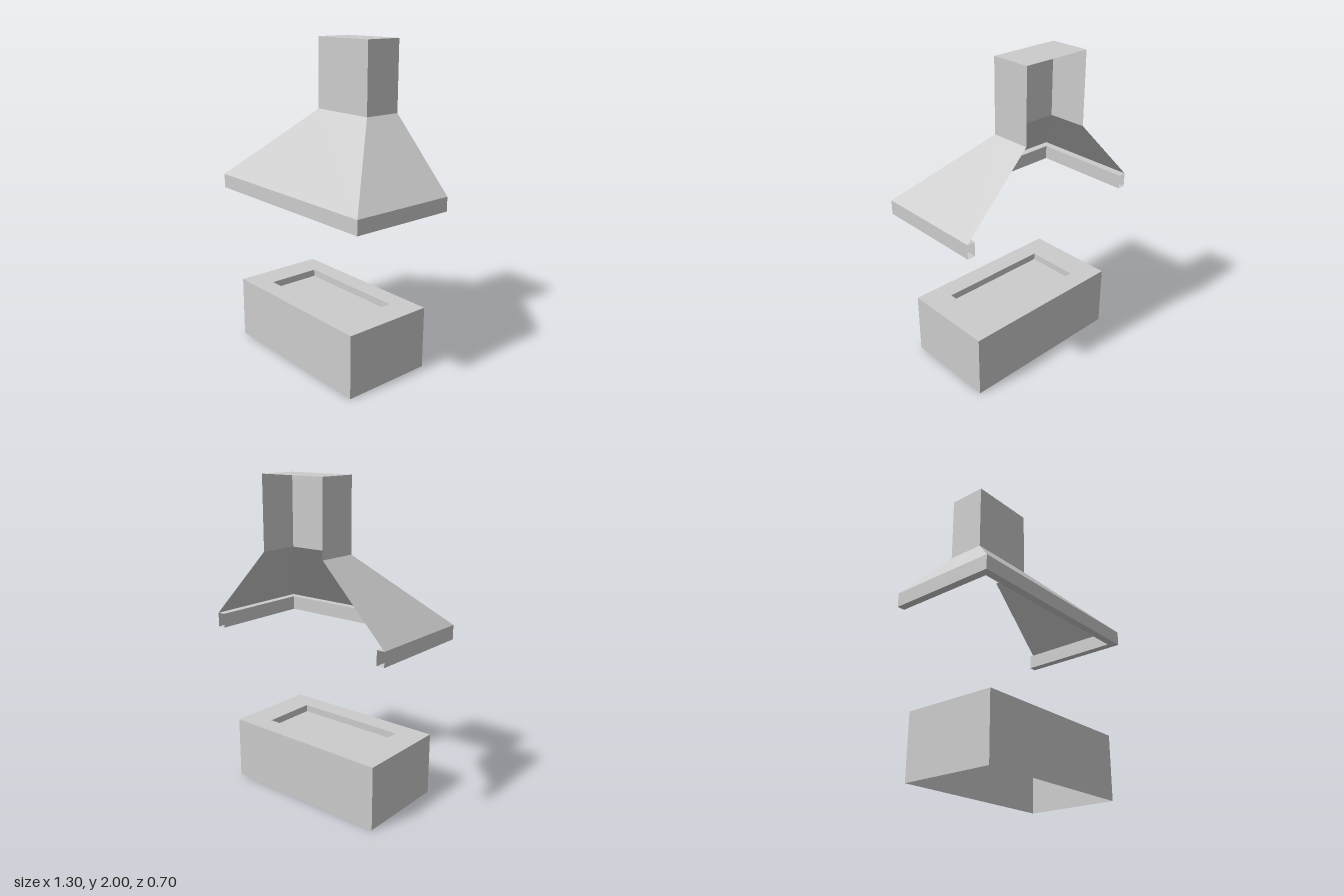
import * as THREE from 'three';

// Skin through rectangular sections [halfWidth, y, frontZ, backZ];
// the back side is only built when closed is true.
function loft(sections, closed) {
  const pos = [];
  const ring = ([w, y, f, b]) => [[w, y, b], [w, y, f], [-w, y, f], [-w, y, b]];
  for (let s = 0; s < sections.length - 1; s++) {
    const lo = ring(sections[s]), hi = ring(sections[s + 1]);
    for (let i = 0; i < (closed ? 4 : 3); i++) {
      const j = (i + 1) % 4;
      pos.push(...lo[i], ...hi[i], ...hi[j], ...lo[i], ...hi[j], ...lo[j]);
    }
  }
  const geo = new THREE.BufferGeometry();
  geo.setAttribute('position', new THREE.Float32BufferAttribute(pos, 3));
  geo.computeVertexNormals();
  return geo;
}

// Horizontal rectangle facing up
function sheet(w, d, y, z) {
  return new THREE.PlaneGeometry(w, d).rotateX(-Math.PI / 2).translate(0, y, z);
}

export function createModel() {
  const model = new THREE.Group();
  model.name = 'fireplaceWithHood';
  const grey = new THREE.MeshStandardMaterial({ color: 0xcccccc, side: THREE.DoubleSide });
  grey.name = 'light grey metal';

  const add = (parent, name, geo) => {
    const mesh = new THREE.Mesh(geo, grey);
    mesh.name = name;
    parent.add(mesh);
  };

  // Hearth: thin shell open below, with a shallow fire tray sunk in the top
  const hearth = new THREE.Group();
  hearth.name = 'hearth';
  add(hearth, 'hearthShell', loft([
    [0.55, 0, 0.3, -0.3],
    [0.55, 0.4, 0.3, -0.3],
    [0.375, 0.4, 0.175, -0.175],
    [0.375, 0.355, 0.175, -0.175],
  ], true));
  add(hearth, 'fireTrayFloor', sheet(0.75, 0.35, 0.355, 0));

  // Hood: open at the back and below
  const hood = new THREE.Group();
  hood.name = 'hood';
  const back = -0.35;
  // Hollow rim running round three sides
  add(hood, 'hoodRim', loft([
    [0.65, 1.03, 0.35, back],
    [0.65, 1.12, 0.35, back],
    [0.6, 1.12, 0.3, back],
    [0.6, 1.03, 0.3, back],
    [0.65, 1.03, 0.35, back],
  ], false));
  add(hood, 'hoodSlope', loft([
    [0.65, 1.12, 0.35, back],
    [0.225, 1.555, -0.1, back],
  ], false));
  add(hood, 'flue', loft([
    [0.225, 1.555, -0.1, back],
    [0.225, 2, -0.1, back],
  ], false));
  add(hood, 'flueCap', sheet(0.45, 0.25, 2, -0.225));

  model.add(hearth, hood);
  return model;
}
